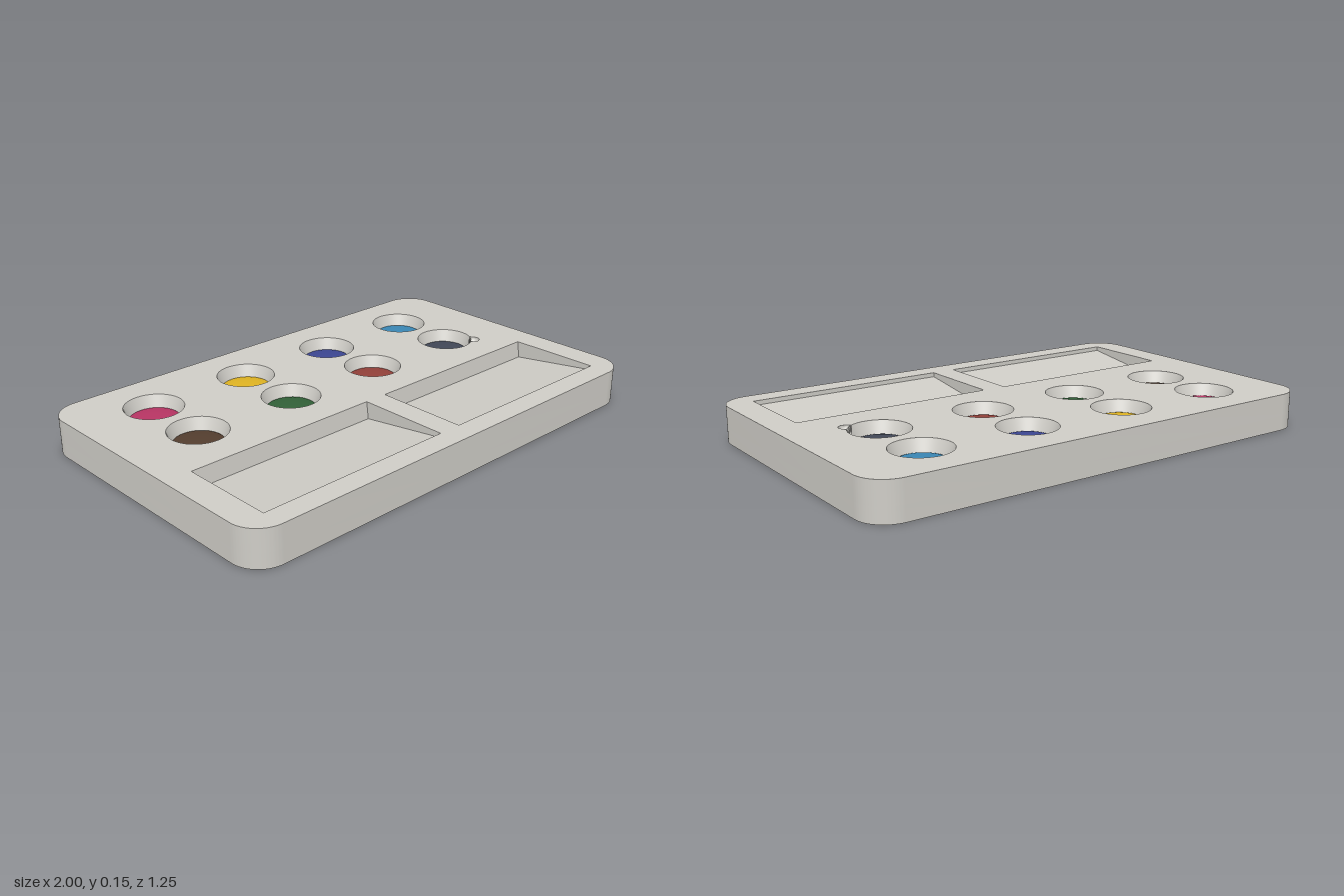
import * as THREE from 'three';
import { toCreasedNormals } from 'three/addons/utils/BufferGeometryUtils.js';

const TOP = 0.15, SPLIT = 0.06;            // top face, and seam between base and upper slab
const RIM = 0.118, LOW = 0.097, LOW_Y = 0.095; // tapered well wall
const NOTCH_R = 0.027, NOTCH_D = 0.128;    // small round notch on one well's rim
const NOTCH_A = Math.PI / 4;
const SEG = 96;

const mat = (name, color, side = THREE.FrontSide) => {
  const m = new THREE.MeshStandardMaterial({ color, side });
  m.name = name;
  return m;
};

// Rounded rectangle outline; shape y is -z
function plateShape(w, d, r) {
  const x = w / 2, y = d / 2, s = new THREE.Shape();
  s.moveTo(-x + r, -y);
  s.lineTo(x - r, -y);
  s.absarc(x - r, -y + r, r, -Math.PI / 2, 0);
  s.lineTo(x, y - r);
  s.absarc(x - r, y - r, r, 0, Math.PI / 2);
  s.lineTo(-x + r, y);
  s.absarc(-x + r, y - r, r, Math.PI / 2, Math.PI);
  s.lineTo(-x, -y + r);
  s.absarc(-x + r, -y + r, r, Math.PI, Math.PI * 1.5);
  return s;
}

function slab(shape, y0, y1) {
  const g = new THREE.ExtrudeGeometry(shape, { depth: y1 - y0, bevelEnabled: false, curveSegments: 16 });
  g.rotateX(-Math.PI / 2).translate(0, y0, 0);
  return toCreasedNormals(g, 0.5);
}

// Rim outline of a well, bulging out where the notch overlaps it
function wellHole(cx, cz, notched) {
  const pts = [];
  for (let i = 0; i < SEG; i++) {
    const a = (i / SEG) * Math.PI * 2;
    let r = RIM;
    const k = NOTCH_R ** 2 - (NOTCH_D * Math.sin(a - NOTCH_A)) ** 2;
    if (notched && k > 0 && Math.cos(a - NOTCH_A) > 0) {
      r = Math.max(r, NOTCH_D * Math.cos(a - NOTCH_A) + Math.sqrt(k));
    }
    pts.push(new THREE.Vector2(cx + r * Math.cos(a), -(cz + r * Math.sin(a))));
  }
  return new THREE.Path(pts);
}

const wallRadius = y => LOW + (RIM - LOW) * (y - LOW_Y) / (TOP - LOW_Y);

// Tapered wall, its top edge dipping into the notch
function wellWall(notched) {
  const g = new THREE.CylinderGeometry(RIM, LOW, TOP - LOW_Y, SEG, 1, true);
  g.translate(0, (TOP + LOW_Y) / 2, 0);
  const p = g.attributes.position;
  const nx = NOTCH_D * Math.cos(NOTCH_A), nz = NOTCH_D * Math.sin(NOTCH_A);
  for (let i = 0; notched && i < p.count; i++) {
    const k = NOTCH_R ** 2 - (p.getX(i) - nx) ** 2 - (p.getZ(i) - nz) ** 2;
    if (p.getY(i) > TOP - 0.001 && k > 0) {
      const y = TOP - Math.sqrt(k), f = wallRadius(y) / RIM;
      p.setXYZ(i, p.getX(i) * f, y, p.getZ(i) * f);
    }
  }
  return g;
}

// Lower half sphere, kept outside the well wall
function notchBowl() {
  const g = new THREE.SphereGeometry(NOTCH_R, 24, 8, 0, Math.PI * 2, Math.PI / 2, Math.PI / 2);
  g.translate(NOTCH_D * Math.cos(NOTCH_A), TOP, NOTCH_D * Math.sin(NOTCH_A));
  const p = g.attributes.position;
  for (let i = 0; i < p.count; i++) {
    const d = Math.hypot(p.getX(i), p.getZ(i));
    const f = Math.max(1, wallRadius(p.getY(i)) / d);
    p.setXYZ(i, p.getX(i) * f, p.getY(i), p.getZ(i) * f);
  }
  return g;
}

export function createModel() {
  const group = new THREE.Group();
  const add = (name, geo, material, x = 0, y = 0, z = 0) => {
    const m = new THREE.Mesh(geo, material);
    m.name = name;
    m.position.set(x, y, z);
    group.add(m);
  };

  const body = mat('warm grey', 0xcfcdc7);
  const inner = body.clone();
  inner.side = THREE.DoubleSide;
  inner.name = 'warm grey lining';

  const paints = [
    ['pink', 0xb83564], ['yellow', 0xe0b422], ['blue', 0x3c4692], ['sky blue', 0x3a87b5],
    ['brown', 0x543e2f], ['green', 0x326138], ['red', 0x93413a], ['slate', 0x424857],
  ];
  const columns = [-0.675, -0.225, 0.225, 0.675], rows = [-0.385, -0.1];
  const trays = [-1, 1].map(s => s * 0.4675);
  const trayW = 0.835, trayBack = 0.147, trayFront = 0.533;

  // Plate: solid base below a slab pierced by wells and trays
  const outline = () => plateShape(2, 1.25, 0.12);
  add('base', slab(outline(), 0, SPLIT), body);
  const upper = outline();

  // Paint wells
  paints.forEach(([name, color], i) => {
    const x = columns[i % 4], z = rows[Math.floor(i / 4)], notched = i === 7;
    upper.holes.push(wellHole(x, z, notched));
    add('wellWall', wellWall(notched), inner, x, 0, z);
    if (notched) add('rimNotch', notchBowl(), inner, x, 0, z);
    const cake = new THREE.SphereGeometry(0.1, 48, 10, 0, Math.PI * 2, 0, Math.PI / 2);
    cake.scale(1, 0.14, 1);
    add(name + ' paint', cake, mat(name, color), x, 0.098, z);
  });

  // Mixing trays: leaning back wall and floor rising to the front
  const profile = [[trayBack, TOP], [trayBack + 0.009, 0.08], [trayFront, 0.132]];
  for (const x of trays) {
    const l = x - trayW / 2, r = x + trayW / 2;
    upper.holes.push(new THREE.Path([[l, -trayBack], [r, -trayBack], [r, -trayFront], [l, -trayFront]]
      .map(p => new THREE.Vector2(...p))));
    let floor = new THREE.PlaneGeometry(trayW, 1, 1, 2);
    const p = floor.attributes.position;
    for (let i = 0; i < p.count; i++) {
      const [z, y] = profile[Math.floor(i / 2)];
      p.setXYZ(i, p.getX(i), y, z);
    }
    floor = floor.toNonIndexed();
    floor.computeVertexNormals();
    add('mixingTray', floor, inner, x);
  }

  add('upperPlate', slab(upper, SPLIT, TOP), body);
  return group;
}
